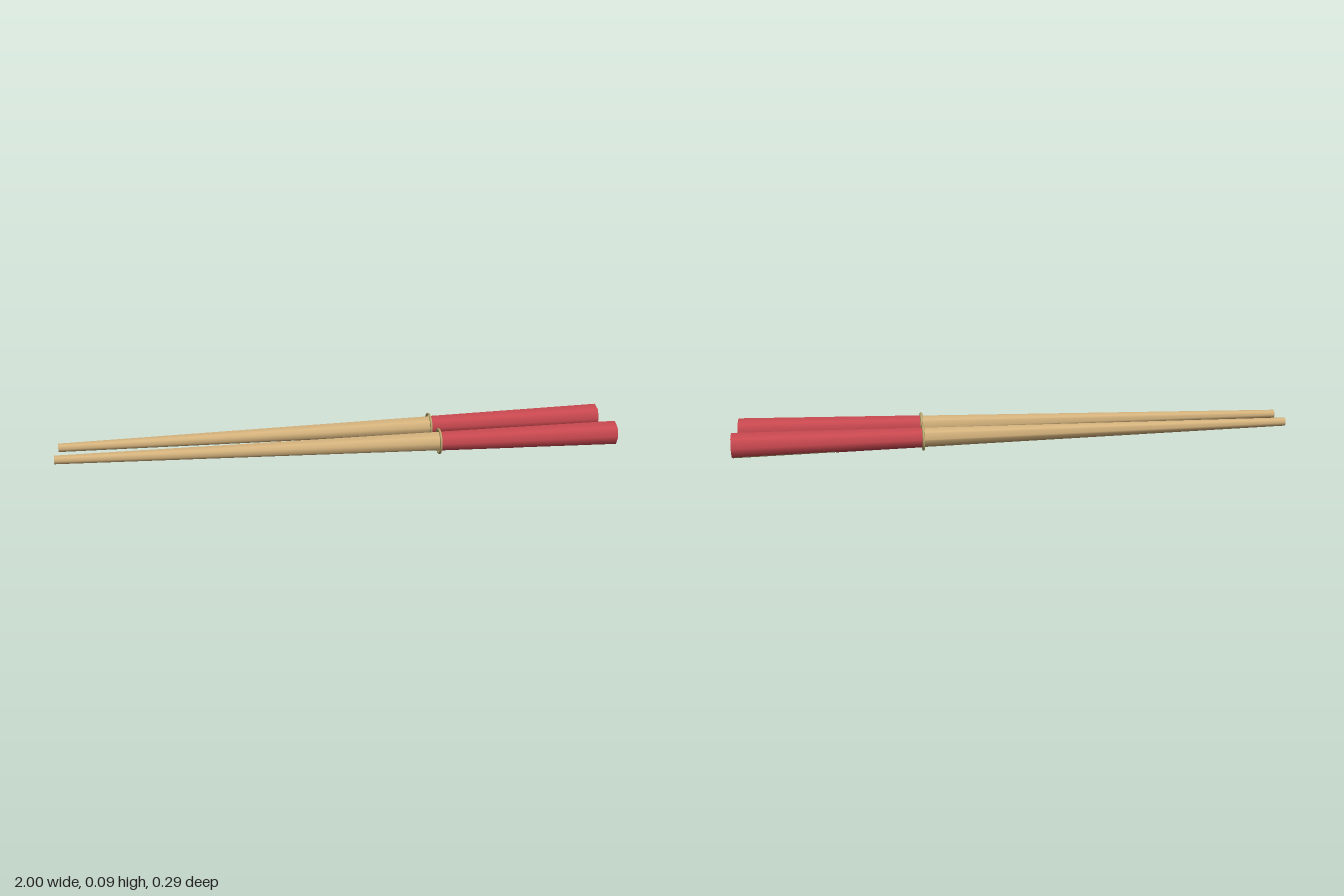
import * as THREE from 'three';

const TIP_R = 0.016, END_R = 0.045, SIDES = 8;
const RING_X = 0.345, GRIP_X = 0.65;

const wood = new THREE.MeshStandardMaterial({ color: 0xd4b27c });
wood.name = 'wood';
const red = new THREE.MeshStandardMaterial({ color: 0xc8484f });
red.name = 'red lacquer';
const brass = new THREE.MeshStandardMaterial({ color: 0xbcaa70 });
brass.name = 'brass';

// shaft radius at position x along the stick
const radiusAt = (x) => THREE.MathUtils.lerp(TIP_R, END_R, (x + 1) / 2);

// tapered eight-sided section along x
function section(name, x0, x1, extra, material, open, start = 0, length = Math.PI * 2) {
  const segments = Math.round((SIDES * length) / (Math.PI * 2));
  const geometry = new THREE.CylinderGeometry(
    radiusAt(x1) + extra, radiusAt(x0) + extra, x1 - x0, segments, 1, open, start, length);
  geometry.rotateZ(-Math.PI / 2);
  geometry.translate((x0 + x1) / 2, 0, 0);
  const mesh = new THREE.Mesh(geometry, material);
  mesh.name = name;
  return mesh;
}

function chopstick(name) {
  const stick = new THREE.Group();
  stick.name = name;
  stick.add(section('shaft', -1, 1, 0, wood, false));
  // lacquered grip, bare on its two lowest faces near the end
  stick.add(section('lowerGrip', RING_X, GRIP_X, 0.0008, red, true));
  stick.add(section('upperGrip', GRIP_X, 1, 0.0008, red, true, Math.PI * 0.75, Math.PI * 1.5));
  // loose ring where the grip begins
  const ring = new THREE.Mesh(new THREE.TorusGeometry(0.0428, 0.0045, 8, 16), brass);
  ring.name = 'ring';
  ring.rotation.y = Math.PI / 2;
  ring.position.x = RING_X;
  stick.add(ring);
  return stick;
}

export function createModel() {
  const model = new THREE.Group();
  model.name = 'chopsticks';

  const front = chopstick('frontChopstick');
  front.position.set(0, 0.0485, 0.096);

  const back = chopstick('backChopstick');
  back.position.set(0, 0.0485, -0.06);
  back.rotation.y = 0.04;

  model.add(front, back);
  return model;
}
